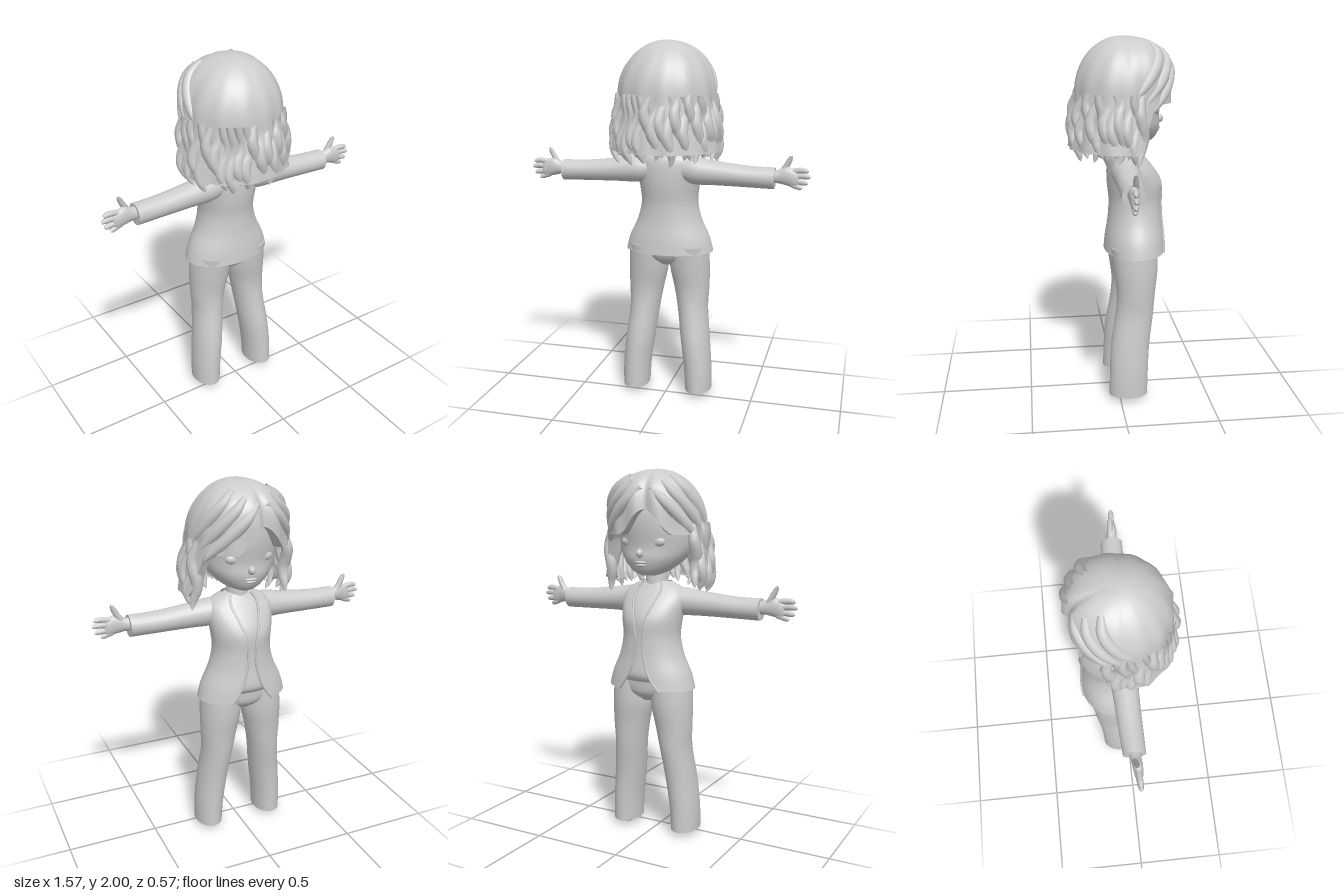
import * as THREE from 'three';
import { toCreasedNormals } from 'three/addons/utils/BufferGeometryUtils.js';

const clay = new THREE.MeshStandardMaterial({ color: 0xcccccc, side: THREE.DoubleSide });
clay.name = 'grey clay';
const { smoothstep, lerp } = THREE.MathUtils;

function mesh(name, geometry) {
  const m = new THREE.Mesh(geometry, clay);
  m.name = name;
  return m;
}

// Surface from a rule fn(u, v) -> [x, y, z], u and v in 0..1
function grid(fn, nu, nv) {
  const pos = [], idx = [], w = nu + 1;
  for (let j = 0; j <= nv; j++) {
    for (let i = 0; i <= nu; i++) {
      pos.push(...fn(i / nu, j / nv));
      if (i < nu && j < nv) {
        const a = j * w + i;
        idx.push(a, a + w, a + 1, a + 1, a + w, a + w + 1);
      }
    }
  }
  const g = new THREE.BufferGeometry();
  g.setAttribute('position', new THREE.Float32BufferAttribute(pos, 3));
  g.setIndex(idx);
  return toCreasedNormals(g, 0.9);
}

// Smooth interpolation through rows of numbers
function sample(rows, t) {
  const n = rows.length - 1, f = Math.min(t * n, n - 1e-6), i = Math.floor(f), k = f - i;
  const [a, b, c, d] = [-1, 0, 1, 2].map(o => rows[Math.min(n, Math.max(0, i + o))]);
  return b.map((p, q) => p + 0.5 * k * (c[q] - a[q] + k * (2 * a[q] - 5 * p + 4 * c[q] - d[q]
    + k * (3 * (p - c[q]) + d[q] - a[q]))));
}

// Rows are [y, centre x, half width, back z, front z]; angle 0 points to the face side
function ringPoint([y, cx, rx, zb, zf], a, s = 1) {
  return [cx + s * rx * Math.sin(a), y, (zb + zf) / 2 - s * (zb - zf) / 2 * Math.cos(a)];
}

// Closed body of rings with flat ends
function loft(rows, nu = 32, nv = 28) {
  return grid((u, v) => {
    const j = Math.round(v * (nv + 2)), t = Math.min(1, Math.max(0, (j - 1) / nv));
    return ringPoint(sample(rows, t), -u * Math.PI * 2, j === 0 || j === nv + 2 ? 0 : 1);
  }, nu, nv + 2);
}

// Tube whose radius follows a rule along its length
function strand(points, radius, rule, seg = 20, sides = 9) {
  const curve = new THREE.CatmullRomCurve3(points.map(p => new THREE.Vector3(...p)));
  const g = new THREE.TubeGeometry(curve, seg, radius, sides), p = g.attributes.position;
  const q = new THREE.Vector3();
  for (let i = 0; i < p.count; i++) {
    const t = Math.floor(i / (sides + 1)) / seg, c = curve.getPointAt(t);
    q.fromBufferAttribute(p, i).sub(c).multiplyScalar(rule(t)).add(c);
    p.setXYZ(i, q.x, q.y, q.z);
  }
  return g;
}
const lockShape = t => 0.05 + 0.95 * Math.pow(Math.sin(Math.PI * (0.08 + 0.92 * t)), 0.6);
const fingerShape = t => Math.sqrt(Math.max(0.001, 1 - Math.pow(t, 6)));

// Hair outline at an angle from the face and a height
function hairPoint(a, y, s = 1) {
  const c = Math.cos(a), low = Math.max(0, 1.7 - y);
  const dome = y > 1.7 ? Math.sqrt(Math.max(0, 1 - Math.pow((y - 1.7) / 0.3, 2 + 2 * Math.max(0, c)))) : 1;
  const parting = 1 - 0.08 * Math.exp(-Math.pow((a + 0.2) / 0.1, 2));
  const r = dome * s * parting;
  const depth = c > 0 ? 0.265 : 0.255 + low * 0.12;
  return [(0.265 + low * 0.14) * r * Math.sin(a), y, -0.03 - depth * r * c];
}
function hairEdge(a) {
  const d = Math.abs(a + 0.2);
  return 1.42 + 0.24 * (1 - smoothstep(d, 1.15, 1.55)) + 0.13 * (1 - smoothstep(d, 0, 0.6));
}

function createHair() {
  const hair = new THREE.Group();
  hair.name = 'hair';
  // Shell with shallow wavy grooves; the last row turns inward
  const n = 30;
  hair.add(mesh('hairShell', grid((u, v) => {
    const a = (u * 2 - 1) * Math.PI, t = Math.min(1, v * (n + 1) / n);
    const y = 2 - (2 - hairEdge(a)) * t * t;
    const wave = 1 + 0.018 * t * Math.cos(a * 13 + Math.sin(t * 7) * 0.9);
    return hairPoint(a, y, v === 1 ? 0.78 : wave);
  }, 120, n + 1)));

  // Wavy locks around the sides and back
  let seed = 7;
  const rnd = () => (seed = (seed * 16807) % 2147483647) / 2147483647;
  const count = 27;
  for (let i = 0; i < count; i++) {
    const a0 = lerp(1.28, Math.PI * 2 - 1.28, i / (count - 1));
    const end = 1.345 + rnd() * 0.06, phase = rnd() * 6, pts = [];
    for (let k = 0; k <= 7; k++) {
      const t = k / 7, y = lerp(1.72, end, t);
      const a = a0 + 0.05 * Math.sin(t * 9 + phase);
      pts.push(hairPoint(a > Math.PI ? a - Math.PI * 2 : a, y, 0.95 + 0.045 * Math.sin(t * 8 + phase) - 0.1 * t ** 4));
    }
    hair.add(mesh('lock', strand(pts, 0.033, lockShape)));
  }

  // Fringe sweeping to both sides of the parting
  for (const s of [1, -1]) {
    const fringe = [0.12, 0.4, 0.72].map((off, i) => {
      const pts = [];
      for (let k = 0; k <= 5; k++) {
        const t = k / 5, a = -0.2 + s * (off + t * (1.2 - off * 0.45));
        pts.push(hairPoint(a, lerp(1.9 + i * 0.03, 1.62 + i * 0.04, t), 0.95));
      }
      return mesh('fringeLock', strand(pts, 0.034, lockShape));
    });
    hair.add(...fringe);
  }
  return hair;
}

function createHead() {
  const head = new THREE.Group();
  head.name = 'head';
  head.add(mesh('face', loft([
    [1.445, 0, 0.04, -0.08, -0.18], [1.47, 0, 0.1, 0, -0.21], [1.53, 0, 0.165, 0.1, -0.232],
    [1.6, 0, 0.2, 0.14, -0.23], [1.7, 0, 0.21, 0.16, -0.245], [1.8, 0, 0.2, 0.14, -0.24],
    [1.88, 0, 0.15, 0.1, -0.19], [1.92, 0, 0.06, 0.02, -0.1]])));
  const bump = (name, x, y, z, sx, sy, sz) => {
    const m = mesh(name, new THREE.SphereGeometry(1, 16, 12));
    m.position.set(x, y, z);
    m.scale.set(sx, sy, sz);
    head.add(m);
  };
  bump('nose', 0, 1.565, -0.228, 0.02, 0.024, 0.028);
  bump('upperLip', 0, 1.517, -0.222, 0.036, 0.009, 0.017);
  bump('lowerLip', 0, 1.502, -0.217, 0.03, 0.009, 0.017);
  for (const s of [1, -1]) bump('eyelid', s * 0.085, 1.625, -0.195, 0.045, 0.028, 0.024);
  const neck = mesh('neck', new THREE.CylinderGeometry(0.055, 0.065, 0.2, 20));
  neck.position.set(0, 1.42, -0.05);
  head.add(neck);
  return head;
}

const jacketRows = [
  [0.84, 0, 0.25, 0.07, -0.27], [0.92, 0, 0.228, 0.062, -0.262], [1.02, 0, 0.182, 0.047, -0.25],
  [1.12, 0, 0.16, 0.042, -0.245], [1.22, 0, 0.17, 0.052, -0.243], [1.31, 0, 0.182, 0.052, -0.195],
  [1.37, 0, 0.16, 0.042, -0.145], [1.41, 0, 0.09, 0.015, -0.115]];
// Half angle of the front opening: cut away at the hem, closing at the waist, wide at the neck
const opening = [[0.5], [0.28], [0.17], [0.13], [0.22], [0.36], [0.5], [0.65]];

function createTorso() {
  const torso = new THREE.Group();
  torso.name = 'torso';
  const inner = jacketRows.map(([y, x, r, b, f]) => [y, x, r - 0.02, b - 0.015, f + 0.015]);
  inner[0] = [0.88, 0, 0.215, 0.045, -0.225];
  torso.add(mesh('shirt', loft(inner)));
  torso.add(mesh('jacket', grid((u, v) => {
    const g = sample(opening, v)[0];
    return ringPoint(sample(jacketRows, v), lerp(g, Math.PI * 2 - g, u));
  }, 48, 32)));
  for (const s of [1, -1]) {
    // Lapel lies just over the jacket beside the opening
    torso.add(mesh('lapel', grid((u, v) => {
      const t = lerp(0.42, 0.97, v), width = 0.45 * Math.sin(Math.PI * Math.min(1, v * 0.8 + 0.02));
      return ringPoint(sample(jacketRows, t), s * (sample(opening, t)[0] - 0.02 + u * width), 1.035);
    }, 6, 16)));
    const edge = [];
    for (let k = 0; k <= 10; k++) edge.push(ringPoint(sample(jacketRows, k / 10), s * sample(opening, k / 10)[0]));
    torso.add(mesh('jacketEdge', strand(edge, 0.007, () => 1, 24, 6)));
  }
  return torso;
}

function createArm(s) {
  const arm = new THREE.Group();
  arm.name = s > 0 ? 'leftArm' : 'rightArm';
  // Sideways rings: [x, centre y, half height, back z, front z]
  const sideways = rows => {
    const g = loft(rows, 24, 20), p = g.attributes.position, q = g.attributes.normal;
    for (const b of [p, q]) for (let i = 0; i < b.count; i++) b.setXYZ(i, b.getY(i) * s, b.getX(i), b.getZ(i));
    return g;
  };
  arm.add(mesh('sleeve', sideways([
    [0.08, 1.31, 0.07, 0.03, -0.13], [0.16, 1.305, 0.075, 0.045, -0.11], [0.28, 1.297, 0.066, 0.04, -0.095],
    [0.45, 1.287, 0.058, 0.04, -0.085], [0.595, 1.284, 0.058, 0.042, -0.075]])));
  arm.add(mesh('palm', sideways([
    [0.56, 1.29, 0.036, 0.02, -0.05], [0.61, 1.295, 0.036, 0.015, -0.042],
    [0.66, 1.3, 0.05, 0.018, -0.034], [0.705, 1.287, 0.046, 0.014, -0.026], [0.72, 1.285, 0.035, 0.008, -0.018]])));
  const fingers = [
    [[0.68, 1.325], [0.735, 1.333], [0.775, 1.328]], [[0.69, 1.3], [0.745, 1.303], [0.785, 1.298]],
    [[0.69, 1.275], [0.74, 1.27], [0.772, 1.264]], [[0.68, 1.258], [0.72, 1.245], [0.742, 1.236]],
    [[0.62, 1.3], [0.655, 1.355], [0.682, 1.408]]];
  fingers.forEach((pts, i) => arm.add(mesh(i === 4 ? 'thumb' : 'finger',
    strand(pts.map(([x, y], k) => [s * x, y, -0.008 - (i === 4 ? 0.012 : 0) + k * 0.003]), 0.0155, fingerShape, 14, 8))));
  return arm;
}

function createLeg(s) {
  const leg = new THREE.Group();
  leg.name = s > 0 ? 'leftLeg' : 'rightLeg';
  leg.add(mesh('trouserLeg', loft([
    [0.03, 0.185, 0.075, 0.06, -0.155], [0.16, 0.18, 0.079, 0.057, -0.158], [0.32, 0.163, 0.083, 0.048, -0.167],
    [0.5, 0.142, 0.086, 0.02, -0.19], [0.62, 0.133, 0.099, 0.013, -0.2], [0.75, 0.12, 0.113, 0.03, -0.215],
    [0.88, 0.115, 0.11, 0.045, -0.215]].map(([y, x, ...r]) => [y, x * s, ...r]))));
  const shoe = mesh('shoe', new THREE.SphereGeometry(1, 16, 10));
  shoe.scale.set(0.03, 0.025, 0.055);
  shoe.position.set(s * 0.172, 0.025, -0.06);
  leg.add(shoe);
  return leg;
}

export function createModel() {
  const figure = new THREE.Group();
  figure.name = 'figure';
  figure.add(createHead(), createHair(), createTorso());
  figure.add(mesh('trouserSeat', loft([
    [0.765, 0, 0.06, -0.02, -0.16], [0.81, 0, 0.17, 0.03, -0.21], [0.88, 0, 0.218, 0.048, -0.222],
    [0.98, 0, 0.185, 0.035, -0.225], [1.05, 0, 0.15, 0.02, -0.22]])));
  for (const s of [1, -1]) figure.add(createArm(s), createLeg(s));
  return figure;
}
